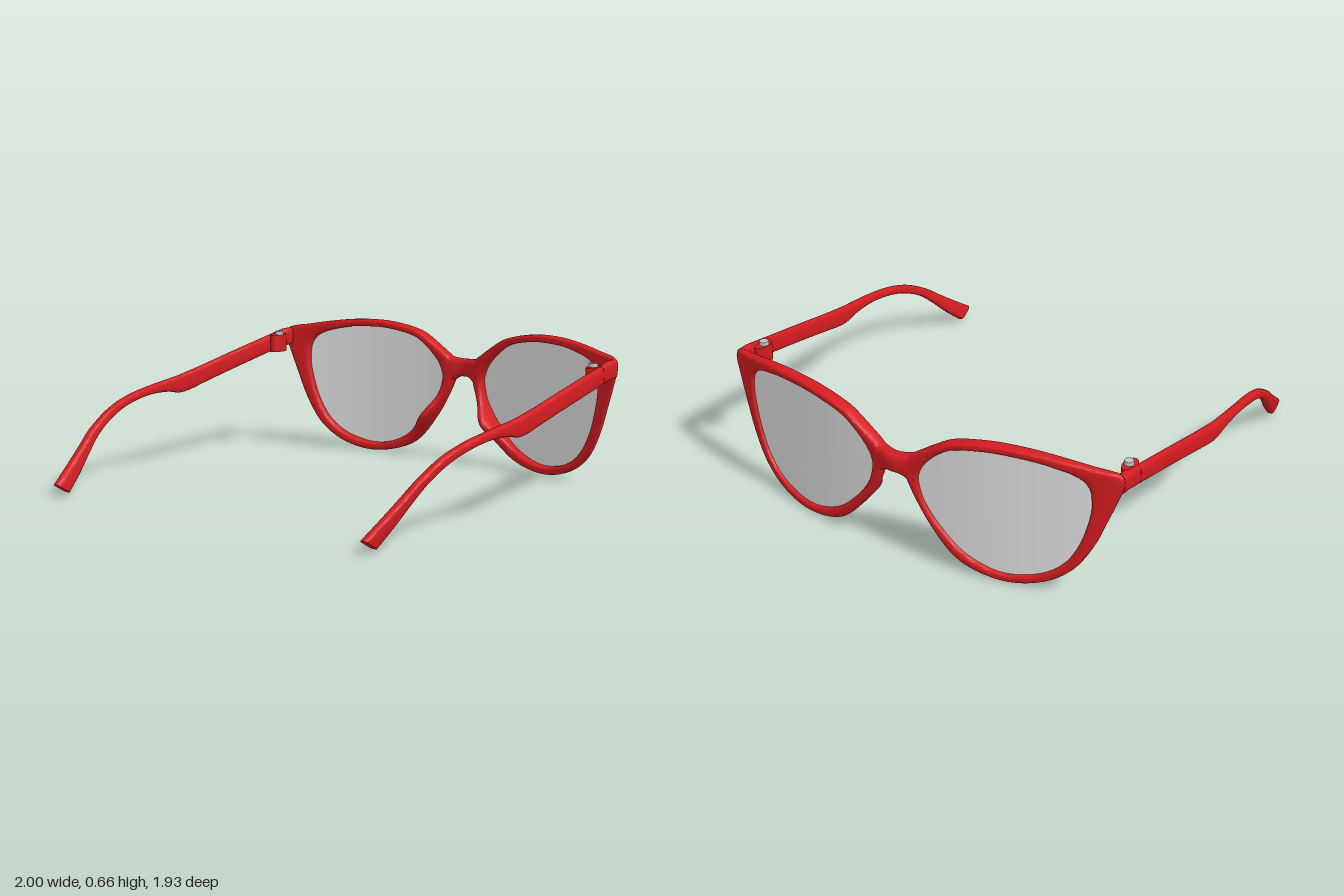
import * as THREE from 'three';
import { toCreasedNormals } from 'three/addons/utils/BufferGeometryUtils.js';
import { ParametricGeometry } from 'three/addons/geometries/ParametricGeometry.js';

// rim stations: [opening x, opening y, outer x, outer y], from the nose over the top
const RIM = [[.115, .41, .05, .45], [.135, .465, .07, .495], [.17, .51, .12, .532], [.22, .555, .18, .573],
  [.275, .588, .26, .618], [.435, .62, .42, .652], [.55, .622, .56, .657], [.65, .614, .68, .648],
  [.785, .58, .85, .621], [.825, .553, .962, .597], [.846, .52, .977, .57], [.854, .47, .947, .465],
  [.853, .41, .918, .385], [.81, .245, .86, .235], [.745, .135, .785, .115], [.65, .068, .67, .034],
  [.49, .037, .5, 0], [.33, .09, .3, .052], [.22, .19, .165, .195], [.14, .3, .1, .31], [.12, .36, .065, .388]];

// bridge stations: [bottom x, bottom y, top x, top y]
const BRIDGE = [[-.1, .34, -.1, .515], [-.065, .386, -.065, .501], [-.03, .407, -.03, .496], [0, .41, 0, .495],
  [.03, .407, .03, .496], [.065, .386, .065, .501], [.1, .34, .1, .515]];

// bar stations: [top z, top y, bottom z, bottom y, middle x, half width]
const TEMPLE = [
  [-.61, .577, -.61, .495, .964, .018], [-.3, .512, -.3, .428, .972, .017], [-.1, .468, -.1, .383, .977, .018],
  [0, .448, 0, .36, .979, .018], [.07, .435, .06, .354, .98, .018], [.15, .424, .14, .367, .98, .018],
  [.28, .406, .27, .368, .977, .018], [.42, .38, .42, .342, .968, .019], [.55, .338, .53, .303, .954, .019],
  [.68, .266, .64, .24, .936, .02], [.77, .197, .72, .17, .917, .021], [.867, .125, .8, .09, .896, .021],
  [.965, .055, .89, .01, .875, .02]];

const LUG = [[-.735, .596, -.735, .512, .955, .022], [-.69, .594, -.69, .509, .958, .021],
  [-.65, .586, -.65, .503, .962, .019], [-.612, .578, -.612, .496, .964, .018]];

const curveOf = (pts, closed = false) =>
  new THREE.CatmullRomCurve3(pts.map(([x, y, z = 0]) => new THREE.Vector3(x, y, z)), closed);

// wrap of the front, with a small swell at the bridge
const wrap = x => -0.95 + 0.21 * x * x - 0.02 * Math.exp(-((x / 0.06) ** 2));

// skin over rounded cross-sections; section(t, c, s) gives the point for c, s in -1..1
function sweep(section, steps, closed, side) {
  const N = 24, rings = closed ? steps : steps + 1, pos = [], index = [];
  const round = v => Math.sign(v) * Math.abs(v) ** 0.55;
  for (let i = 0; i < rings; i++) for (let j = 0; j < N; j++) {
    const a = j / N * Math.PI * 2;
    const [x, y, z] = section(i / steps, round(Math.cos(a)), round(Math.sin(a)));
    pos.push(side * x, y, z);
  }
  const tri = (a, b, c) => side > 0 ? index.push(a, b, c) : index.push(a, c, b);
  for (let i = 0; i < steps; i++) for (let j = 0; j < N; j++) {
    const k = (j + 1) % N, r = i * N, q = (i + 1) % rings * N;
    tri(r + j, r + k, q + k);
    tri(r + j, q + k, q + j);
  }
  // end caps
  for (let j = 1; j < N - 1 && !closed; j++) {
    const e = steps * N;
    tri(0, j + 1, j);
    tri(e, e + j, e + j + 1);
  }
  const geo = new THREE.BufferGeometry();
  geo.setAttribute('position', new THREE.Float32BufferAttribute(pos, 3));
  geo.setIndex(index);
  return toCreasedNormals(geo, 0.8);
}

// wrapped strip of the front, with the nose pad drawn out towards the wearer
function frontGeometry(stations, steps, closed, side) {
  const inner = curveOf(stations.map(s => [s[0], s[1]]), closed);
  const outer = curveOf(stations.map(s => [s[2], s[3]]), closed);
  return sweep((t, c, s) => {
    const p = inner.getPoint(t).lerp(outer.getPoint(t), (c + 1) / 2);
    const d2 = (p.x - 0.17) ** 2 + (p.y - 0.2) ** 2;
    const thick = 0.066 - 0.03 * p.x * p.x + 0.07 * Math.exp(-d2 / 0.0085);
    return [p.x, p.y, wrap(p.x) + thick * (s + 1) / 2];
  }, steps, closed, side);
}

function barGeometry(stations, steps, side) {
  const top = curveOf(stations.map(s => [s[0], s[1], s[4]]));
  const bottom = curveOf(stations.map(s => [s[2], s[3], s[5]]));
  return sweep((t, c, s) => {
    const a = top.getPoint(t), b = bottom.getPoint(t), k = (s + 1) / 2;
    return [a.z + b.z * c, b.y + (a.y - b.y) * k, b.x + (a.x - b.x) * k];
  }, steps, false, side);
}

function lensGeometry(side) {
  const edge = curveOf(RIM.map(s => [s[0], s[1]]), true);
  return new ParametricGeometry((u, v, out) => {
    const p = edge.getPoint(u % 1), r = v * 1.03;
    const x = 0.49 + (p.x - 0.49) * r, y = 0.35 + (p.y - 0.35) * r;
    out.set(side * x, y, wrap(x) + 0.018);
  }, 105, 12);
}

export function createModel() {
  const model = new THREE.Group();
  model.name = 'glasses';
  const red = new THREE.MeshStandardMaterial({ color: 0xd41c20 });
  red.name = 'red plastic';
  const grey = new THREE.MeshStandardMaterial({ color: 0xe5e5e5, side: THREE.DoubleSide });
  grey.name = 'grey lens';
  const steel = new THREE.MeshStandardMaterial({ color: 0xc0c0c0 });
  steel.name = 'steel';
  const add = (name, geo, mat) => {
    const mesh = new THREE.Mesh(geo, mat);
    mesh.name = name;
    model.add(mesh);
    return mesh;
  };

  add('bridge', frontGeometry(BRIDGE, 36, false, 1), red);
  for (const side of [1, -1]) {
    const tag = side > 0 ? 'left' : 'right';
    add(tag + 'Rim', frontGeometry(RIM, 168, true, side), red);
    add(tag + 'Lens', lensGeometry(side), grey);
    add(tag + 'Temple', barGeometry(TEMPLE, 72, side), red);
    add(tag + 'Lug', barGeometry(LUG, 9, side), red);

    // hinge knuckle and its screw
    const knuckle = add(tag + 'Hinge', new THREE.CylinderGeometry(.03, .03, .085, 24), red);
    knuckle.scale.z = 1.7;
    knuckle.position.set(side * .93, .532, -.61);
    add(tag + 'Screw', new THREE.CylinderGeometry(.02, .022, .018, 20), steel)
      .position.set(side * .925, .582, -.61);
  }
  return model;
}
